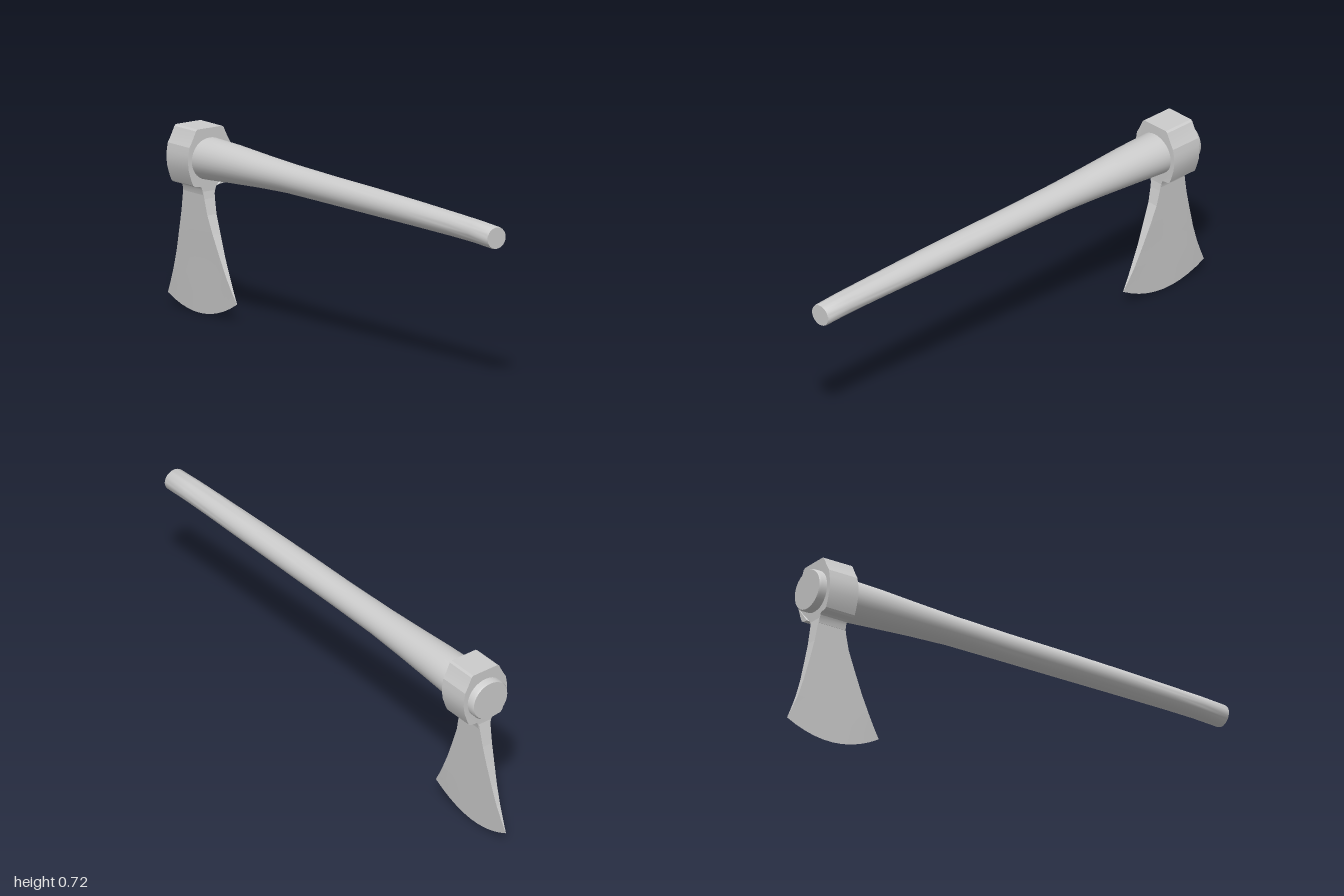
import * as THREE from 'three';
import { toCreasedNormals } from 'three/addons/utils/BufferGeometryUtils.js';

// Skin a list of equal-length rings, each running counter-clockwise about the path, and cap both ends
function loft(rings) {
  const n = rings[0].length, pos = [], index = [];
  rings.forEach(r => r.forEach(p => pos.push(...p)));
  for (let i = 0; i < rings.length - 1; i++) {
    for (let j = 0; j < n; j++) {
      const a = i * n + j, b = i * n + (j + 1) % n;
      index.push(a, b, b + n, a, b + n, a + n);
    }
  }
  [0, rings.length - 1].forEach((row, end) => {
    const c = pos.length / 3;
    pos.push(...[0, 1, 2].map(k => rings[row].reduce((s, p) => s + p[k], 0) / n));
    for (let j = 0; j < n; j++) {
      const a = row * n + j, b = row * n + (j + 1) % n;
      index.push(c, end ? a : b, end ? b : a);
    }
  });
  const g = new THREE.BufferGeometry();
  g.setAttribute('position', new THREE.Float32BufferAttribute(pos, 3));
  g.setIndex(index);
  g.computeVertexNormals();
  return g;
}

export function createModel() {
  const group = new THREE.Group();
  const grey = new THREE.MeshStandardMaterial({ color: 0xcccccc });
  const add = (name, geometry, crease) => {
    const mesh = new THREE.Mesh(toCreasedNormals(geometry, crease), grey);
    mesh.name = name;
    group.add(mesh);
  };

  // Handle: x, bottom y, top y, half depth
  const handle = [
    [-0.908, 0.524, 0.678, 0.08], [-0.9, 0.52, 0.682, 0.085], [-0.745, 0.523, 0.684, 0.085],
    [-0.6, 0.534, 0.681, 0.078], [-0.42, 0.546, 0.672, 0.069], [-0.25, 0.554, 0.665, 0.062],
    [0, 0.555, 0.66, 0.057], [0.25, 0.556, 0.657, 0.056], [0.5, 0.557, 0.652, 0.053],
    [0.75, 0.557, 0.645, 0.049], [0.88, 0.555, 0.641, 0.047], [0.99, 0.549, 0.635, 0.045],
    [0.996, 0.551, 0.633, 0.043],
  ];
  add('handle', loft(handle.map(([x, y0, y1, rz]) => Array.from({ length: 32 }, (_, j) => {
    const a = j / 32 * Math.PI * 2;
    return [x, (y0 + y1) / 2 + Math.cos(a) * (y1 - y0) / 2, Math.sin(a) * rz];
  }))), 0.6);

  // Axe eye: half outline (depth, y) mirrored and extruded along the handle
  const half = [
    [0.058, 0.721], [0.066, 0.715], [0.072, 0.702], [0.084, 0.678], [0.097, 0.656], [0.102, 0.628],
    [0.104, 0.6], [0.1, 0.568], [0.088, 0.53], [0.079, 0.509], [0.07, 0.503], [0.045, 0.5],
    [0.036, 0.495], [0.031, 0.485], [0.027, 0.465],
  ];
  const outline = [...half, ...half.map(([z, y]) => [-z, y]).reverse()];
  const eye = new THREE.ExtrudeGeometry(new THREE.Shape(outline.map(p => new THREE.Vector2(...p))),
    { depth: 0.131, bevelEnabled: false });
  eye.rotateY(Math.PI / 2).translate(-0.877, 0, 0);
  // Pull in the neck below the eye to meet the blade
  const p = eye.attributes.position;
  for (let i = 0; i < p.count; i++) {
    if (p.getY(i) < 0.498) p.setX(i, -0.812 + (p.getX(i) + 0.812) * 0.92);
  }
  add('axeEye', eye, 0.3);

  // Blade: left x, right x, left y, right y, sag in the middle, half thickness
  const blade = [
    [-0.871, -0.753, 0.49, 0.49, 0, 0.027], [-0.878, -0.747, 0.45, 0.45, 0, 0.025],
    [-0.889, -0.733, 0.39, 0.39, 0, 0.022], [-0.906, -0.705, 0.32, 0.32, 0, 0.0185],
    [-0.931, -0.666, 0.226, 0.23, 0, 0.0125], [-0.955, -0.63, 0.152, 0.157, 0.005, 0.0085],
    [-0.977, -0.605, 0.1, 0.112, 0.03, 0.0045], [-1, -0.58, 0.05, 0.072, 0.058, 0.0005],
  ];
  const steps = 10;
  add('blade', loft(blade.map(([xl, xr, yl, yr, sag, h]) => {
    const side = s => Array.from({ length: steps + 1 }, (_, i) => {
      const u = i / steps;
      return [xl + (xr - xl) * u, yl + (yr - yl) * u - sag * 4 * u * (1 - u), s * h];
    });
    return [...side(1).reverse(), ...side(-1)];
  })), 0.02);

  return group;
}
